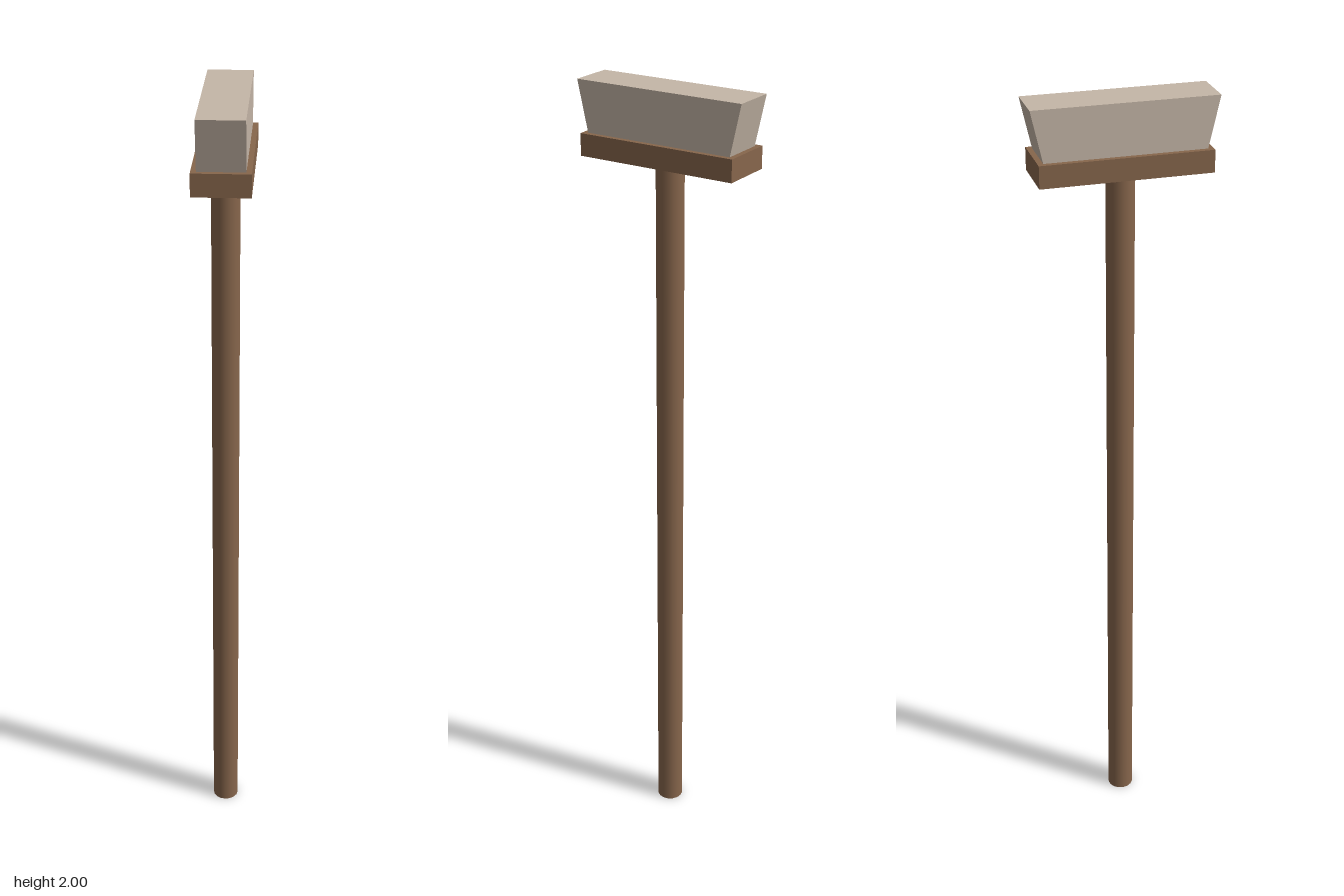
import * as THREE from 'three';

export function createModel() {
  const group = new THREE.Group();
  const wood = new THREE.MeshStandardMaterial({ name: 'brown wood', color: 0x87664c });
  const fibre = new THREE.MeshStandardMaterial({ name: 'pale bristle', color: 0xc5b6a7 });

  const add = (name, geometry, material, y) => {
    const mesh = new THREE.Mesh(geometry, material);
    mesh.name = name;
    mesh.position.y = y;
    group.add(mesh);
  };

  // Long round handle, standing on its end
  const headBottom = 1.827, headTop = 1.88;
  add('handle', new THREE.CylinderGeometry(0.034, 0.034, headBottom, 16), wood, headBottom / 2);

  // Flat wooden block that holds the bristles
  add('headBlock', new THREE.BoxGeometry(0.134, headTop - headBottom, 0.406), wood, (headTop + headBottom) / 2);

  // Bristle block, flaring lengthwise towards its tip
  const flare = new THREE.Shape([[-0.19, headTop], [0.19, headTop], [0.217, 2], [-0.217, 2]]
    .map(([z, y]) => new THREE.Vector2(z, y - headTop)));
  const bristles = new THREE.ExtrudeGeometry(flare, { depth: 0.109, bevelEnabled: false });
  bristles.translate(0, 0, -0.0545).rotateY(Math.PI / 2);
  add('bristles', bristles, fibre, headTop);

  return group;
}
